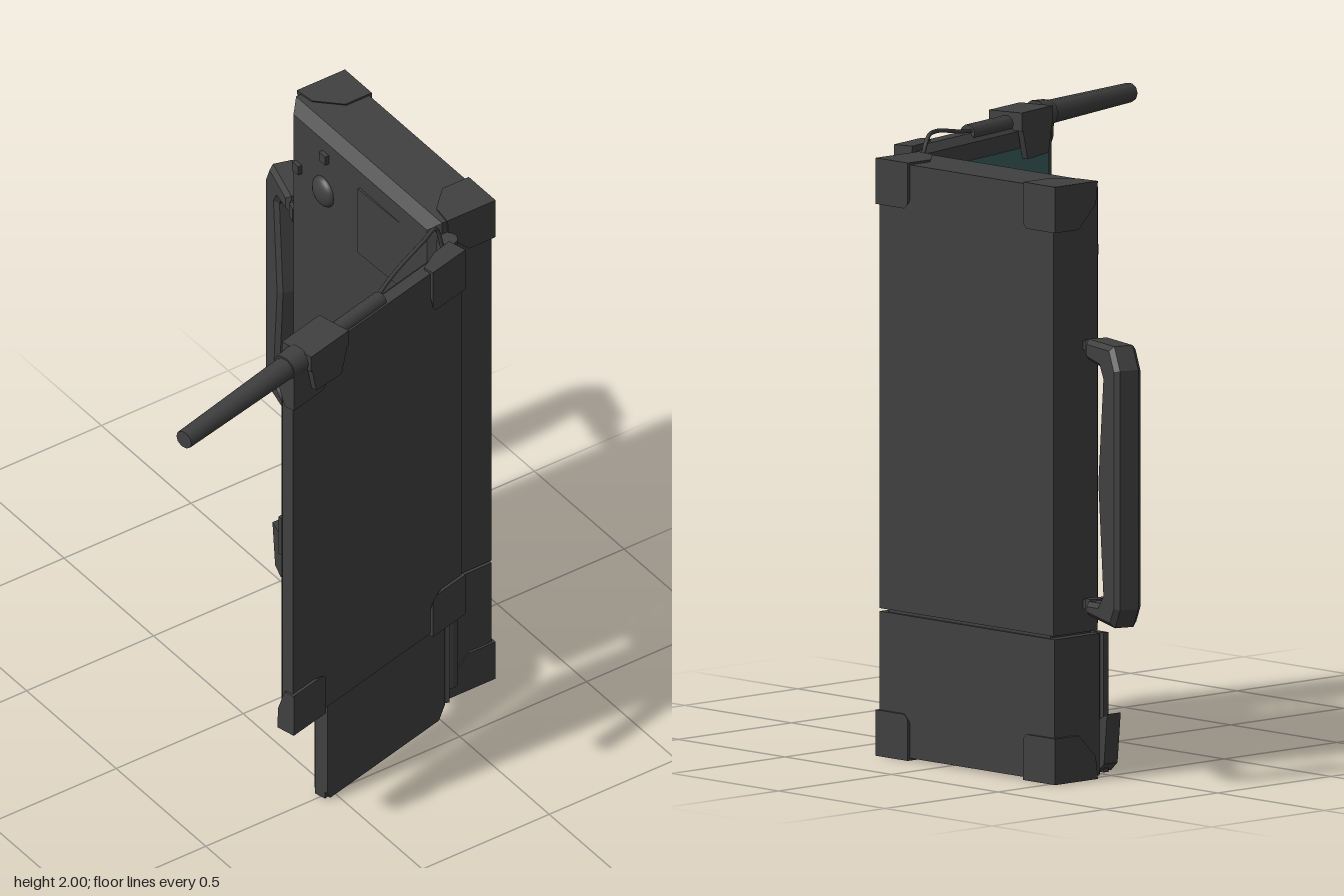
import * as THREE from 'three';
import { ConvexGeometry } from 'three/addons/geometries/ConvexGeometry.js';

const V = (x, y, z) => new THREE.Vector3(x, y, z);

export function createModel() {
  const casing = new THREE.MeshStandardMaterial({ color: 0x404040 });
  casing.name = 'charcoal casing';
  const glass = new THREE.MeshStandardMaterial({ color: 0x3a6060 });
  glass.name = 'teal screen';

  const model = new THREE.Group();
  model.name = 'foldingFieldUnit';

  const add = (parent, name, geometry, material = casing) => {
    const mesh = new THREE.Mesh(geometry, material);
    mesh.name = name;
    parent.add(mesh);
    return mesh;
  };
  const group = (name, x, z, angle) => {
    const g = new THREE.Group();
    g.name = name;
    g.position.set(x, 0, z);
    g.rotation.y = THREE.MathUtils.degToRad(angle);
    model.add(g);
    return g;
  };
  // Box given by its limits
  const box = (parent, name, x0, x1, y0, y1, z0, z1, material) => {
    const m = add(parent, name, new THREE.BoxGeometry(x1 - x0, y1 - y0, z1 - z0), material);
    m.position.set((x0 + x1) / 2, (y0 + y1) / 2, (z0 + z1) / 2);
    return m;
  };
  // Box whose front edges are chamfered by c
  const shell = (parent, name, x0, x1, y0, y1, z0, z1, c) => {
    const pts = [];
    for (const [z, i] of [[z0, 0], [z1 - c, 0], [z1, c]])
      for (const x of [x0 + i, x1 - i])
        for (const y of [y0 + i, y1 - i]) pts.push(V(x, y, z));
    return add(parent, name, new ConvexGeometry(pts));
  };
  // Bumper wrapped round a rear corner; sx and sy point inward
  const bumper = (parent, x, y, z, sx, sy, a, d) => {
    const pts = [
      [0, 0, 0], [a, 0, 0], [a, 0, 0.55 * d], [0.5 * a, 0, 0.95 * d], [0, 0, d],
      [0, a, 0], [0, a, 0.55 * d], [0, 0.5 * a, 0.95 * d], [0.9 * a, a, 0], [a, 0.9 * a, 0],
    ].map(([u, v, w]) => V(x + sx * u, y + sy * v, z + w));
    add(parent, 'cornerBumper', new ConvexGeometry(pts));
  };
  // Rod lying along local x
  const rod = (parent, name, x0, x1, r0, r1, y, z) => {
    const geo = new THREE.CylinderGeometry(r1, r0, x1 - x0, 10).rotateZ(-Math.PI / 2);
    add(parent, name, geo).position.set((x0 + x1) / 2, y, z);
  };
  const extrude = (points, depth, bevel = 0) => new THREE.ExtrudeGeometry(
    new THREE.Shape(points.map(([x, y]) => new THREE.Vector2(x, y))),
    { depth, bevelEnabled: bevel > 0, bevelSize: bevel, bevelThickness: bevel, bevelOffset: -bevel, bevelSegments: 1 });

  // Upper case and lower compartment
  shell(model, 'mainCase', -0.505, 0.31, 0.485, 1.945, -0.76, -0.53, 0.035);
  shell(model, 'lowerCompartment', -0.51, 0.31, 0.012, 0.475, -0.76, -0.53, 0.03);
  box(model, 'caseSeam', -0.48, 0.28, 0.47, 0.49, -0.75, -0.57);
  for (const s of [-1, 1]) {
    const x = s < 0 ? -0.523 : 0.318;
    bumper(model, x, 1.952, -0.77, -s, -1, 0.15, 0.19);
    bumper(model, x, 0.004, -0.77, -s, 1, 0.15, 0.19);
  }

  // Domes and buttons on the front
  for (const [x, y, r] of [[-0.3, 1.705, 0.055], [-0.025, 0.265, 0.068]]) {
    const dome = add(model, 'frontDome', new THREE.SphereGeometry(r, 20, 14));
    dome.position.set(x, y, -0.53);
    dome.scale.z = 0.5;
  }
  for (const [x, y] of [[-0.29, 1.85], [-0.44, 1.715], [-0.165, 0.24], [-0.02, 0.125]])
    box(model, 'frontButton', x - 0.017, x + 0.017, y - 0.017, y + 0.017, -0.54, -0.515);

  // Slightly tilted front panel and long strips
  box(model, 'frontPanel', -0.1, 0.12, 1.585, 1.845, -0.535, -0.525).rotation.y = 0.03;
  box(model, 'longStrip', -0.1, -0.055, 0.735, 1.275, -0.54, -0.518);
  box(model, 'shortStripUpper', -0.22, -0.192, 0.72, 0.855, -0.54, -0.52);
  box(model, 'shortStripLower', -0.225, -0.197, 0.585, 0.72, -0.54, -0.515);

  // Raised cover on the lower compartment with its wrapped lip
  shell(model, 'lowerCover', -0.512, -0.265, 0.02, 0.475, -0.545, -0.508, 0.015);
  add(model, 'coverLip', extrude(
    [[-0.53, 0.05], [-0.5, 0.022], [-0.26, 0.022], [-0.26, 0.17], [-0.48, 0.18], [-0.545, 0.215]], 0.06))
    .position.z = -0.56;

  // Carrying handle, swung slightly backward
  const handle = group('handle', -0.52, -0.61, -16);
  add(handle, 'grip', extrude([
    [-0.08, 1.455], [-0.26, 1.455], [-0.3, 1.38], [-0.3, 0.6], [-0.265, 0.538], [-0.08, 0.555],
    [-0.08, 0.6], [-0.165, 0.605], [-0.197, 0.64], [-0.162, 1.0], [-0.197, 1.34], [-0.175, 1.375], [-0.08, 1.388],
  ], 0.066, 0.015)).position.z = -0.048;
  for (const y of [0.577, 1.42]) {
    box(handle, 'handlePin', -0.1, 0.02, y - 0.015, y + 0.015, -0.022, 0.022);
    box(handle, 'handleCollar', -0.062, -0.025, y - 0.025, y + 0.025, -0.033, 0.033);
  }

  // Hinges between case, lid and flap
  for (const [y0, y1] of [[0.52, 0.855], [1.56, 1.9], [0.09, 0.4]])
    add(model, 'hingeBarrel', new THREE.CylinderGeometry(0.034, 0.034, y1 - y0, 14))
      .position.set(0.338, (y0 + y1) / 2, -0.565);
  const plate = add(model, 'hingePlate', new THREE.BoxGeometry(0.125, 0.7, 0.035));
  plate.position.set(0.375, 1.21, -0.562);
  plate.rotation.y = -0.45;
  box(model, 'hingeLeaf', 0.37, 0.43, 0.86, 1.56, -0.545, -0.515).rotation.y = -0.25;
  const flapLeaf = box(model, 'flapHingeLeaf', 0.33, 0.39, 0.06, 0.39, -0.55, -0.515);
  flapLeaf.rotation.y = -0.45;

  // Open lid: local x runs from hinge to free edge, local z faces inward
  const lid = group('lid', 0.4, -0.513, -76);
  shell(lid, 'lidPanel', 0, 0.83, 0.48, 1.945, -0.07, 0, 0.025);
  box(lid, 'screen', 0.1, 0.785, 0.555, 1.865, -0.003, 0.004, glass);
  box(lid, 'lidLatch', 0.73, 0.8, 1.14, 1.29, -0.01, 0.018);
  for (const [x, sx] of [[-0.008, 1], [0.838, -1]]) {
    bumper(lid, x, 0.47, -0.08, sx, 1, 0.16, 0.07);
    bumper(lid, x, 1.953, -0.08, sx, -1, 0.16, 0.07);
  }

  // Antenna clipped to the top of the lid
  rod(lid, 'antennaBase', 0.36, 0.62, 0.028, 0.028, 1.945, -0.035);
  rod(lid, 'antennaCollar', 0.77, 0.84, 0.05, 0.045, 1.948, -0.04);
  rod(lid, 'antennaMast', 0.83, 1.335, 0.039, 0.032, 1.948, -0.042);
  box(lid, 'antennaClip', 0.59, 0.775, 1.925, 1.985, -0.1, 0.025);
  for (const [z0, z1] of [[-0.1, -0.072], [0.005, 0.025]])
    add(lid, 'clipFlange', extrude(
      [[0.59, 1.95], [0.625, 1.83], [0.75, 1.835], [0.775, 1.95]], z1 - z0)).position.z = z0;

  // Antenna cable
  const path = new THREE.CatmullRomCurve3([
    V(0.345, 1.55, -0.575), V(0.355, 1.88, -0.535), V(0.358, 1.98, -0.505),
    V(0.4, 1.992, -0.43), V(0.46, 1.968, -0.27), V(0.52, 1.95, -0.15)]);
  add(model, 'antennaCable', new THREE.TubeGeometry(path, 40, 0.007, 8));

  // Open flap of the lower compartment with a thick hooked end
  const flap = group('flap', 0.365, -0.51, -76);
  add(flap, 'flapSheet', extrude([
    [0, 0.06], [0.03, 0.012], [0.565, 0.012], [0.58, 0.04], [0.58, 0.445], [0.565, 0.475], [0.03, 0.475], [0, 0.42],
  ], 0.03)).position.z = -0.03;
  shell(flap, 'flapHook', 0.425, 0.58, 0.012, 0.475, -0.02, 0.042, 0.02);

  return model;
}
